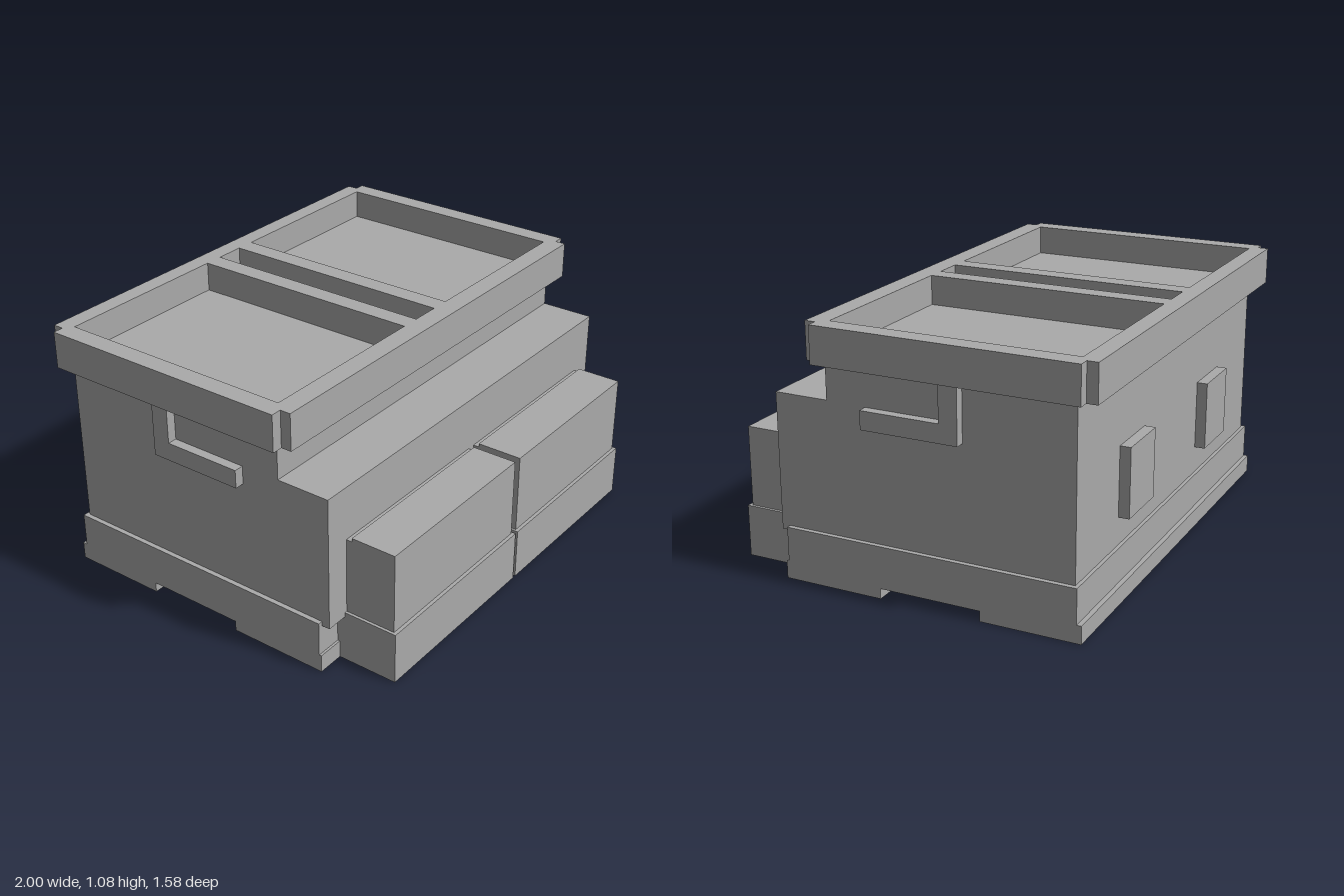
import * as THREE from 'three';

export function createModel() {
  const model = new THREE.Group();
  model.name = 'crate';
  const grey = new THREE.MeshStandardMaterial({ color: 0xaaaaaa });
  grey.name = 'plain grey';

  const add = (name, geometry) => {
    const mesh = new THREE.Mesh(geometry, grey);
    mesh.name = name;
    model.add(mesh);
    return mesh;
  };
  // Box given by its limits on each axis
  const box = (name, x0, x1, y0, y1, z0, z1) =>
    add(name, new THREE.BoxGeometry(x1 - x0, y1 - y0, z1 - z0))
      .position.set((x0 + x1) / 2, (y0 + y1) / 2, (z0 + z1) / 2);
  const shapeOf = (points) => new THREE.Shape(points.map(([a, b]) => new THREE.Vector2(a, b)));
  // Side profile of [z, y] points, extruded along x from x0 to x1
  const sideProfile = (name, points, x0, x1) => {
    const g = new THREE.ExtrudeGeometry(shapeOf(points), { depth: x1 - x0, bevelEnabled: false });
    g.rotateY(-Math.PI / 2);
    g.translate(x1, 0, 0);
    return add(name, g);
  };

  // Stepped body
  sideProfile('body', [
    [-0.71, 0.2], [0.555, 0.2], [0.555, 0.77], [0.325, 0.77], [0.325, 0.93], [-0.71, 0.93],
  ], -0.945, 0.945);

  // Base with a skirting step and a channel underneath
  sideProfile('base', [
    [-0.745, 0], [-0.33, 0], [-0.33, 0.043], [0.1, 0.043], [0.1, 0], [0.53, 0],
    [0.53, 0.075], [0.52, 0.075], [0.52, 0.22], [-0.725, 0.22], [-0.725, 0.075], [-0.745, 0.075],
  ], -0.965, 0.965);

  // Lid with cut-in corners
  const outline = [
    [-0.955, -0.4], [0.955, -0.4], [0.955, -0.355], [1, -0.355], [1, 0.745], [0.955, 0.745],
    [0.955, 0.79], [-0.955, 0.79], [-0.955, 0.745], [-1, 0.745], [-1, -0.355], [-0.955, -0.355],
  ];
  const lidLayer = (name, y0, y1, openings) => {
    const shape = shapeOf(outline);
    for (const [a, b] of openings) {
      shape.holes.push(new THREE.Path([[a, -0.315], [a, 0.715], [b, 0.715], [b, -0.315]]
        .map(([x, y]) => new THREE.Vector2(x, y))));
    }
    const g = new THREE.ExtrudeGeometry(shape, { depth: y1 - y0, bevelEnabled: false });
    g.rotateX(-Math.PI / 2);
    g.translate(0, y0, 0);
    add(name, g);
  };
  lidLayer('lidFloor', 0.92, 0.95, []);
  lidLayer('lidRim', 0.95, 1.075, [[-0.918, -0.143], [-0.063, 0.063], [0.143, 0.918]]);

  // Paired parts
  for (const s of [-1, 1]) {
    const side = s > 0 ? 'left' : 'right';
    const pair = (name, a, b, ...rest) =>
      box(side + name, Math.min(s * a, s * b), Math.max(s * a, s * b), ...rest);

    // Front lockers on their plinths
    pair('LockerPlinth', 0.008, 0.85, 0, 0.22, 0.5, 0.79);
    pair('Locker', 0.018, 0.838, 0.22, 0.56, 0.58, 0.775);
    pair('LockerBack', 0.018, 0.838, 0.22, 0.545, 0.55, 0.58);

    // Rear panel
    pair('RearPanel', 0.3, 0.55, 0.335, 0.625, -0.755, -0.7);

    // L-shaped side handle
    const x = s * 0.985, inner = s * 0.94;
    sideProfile(side + 'Handle', [
      [-0.255, 0.69], [0.155, 0.69], [0.155, 0.767], [-0.178, 0.767], [-0.178, 0.925], [-0.255, 0.925],
    ], Math.min(x, inner), Math.max(x, inner));
  }

  return model;
}
